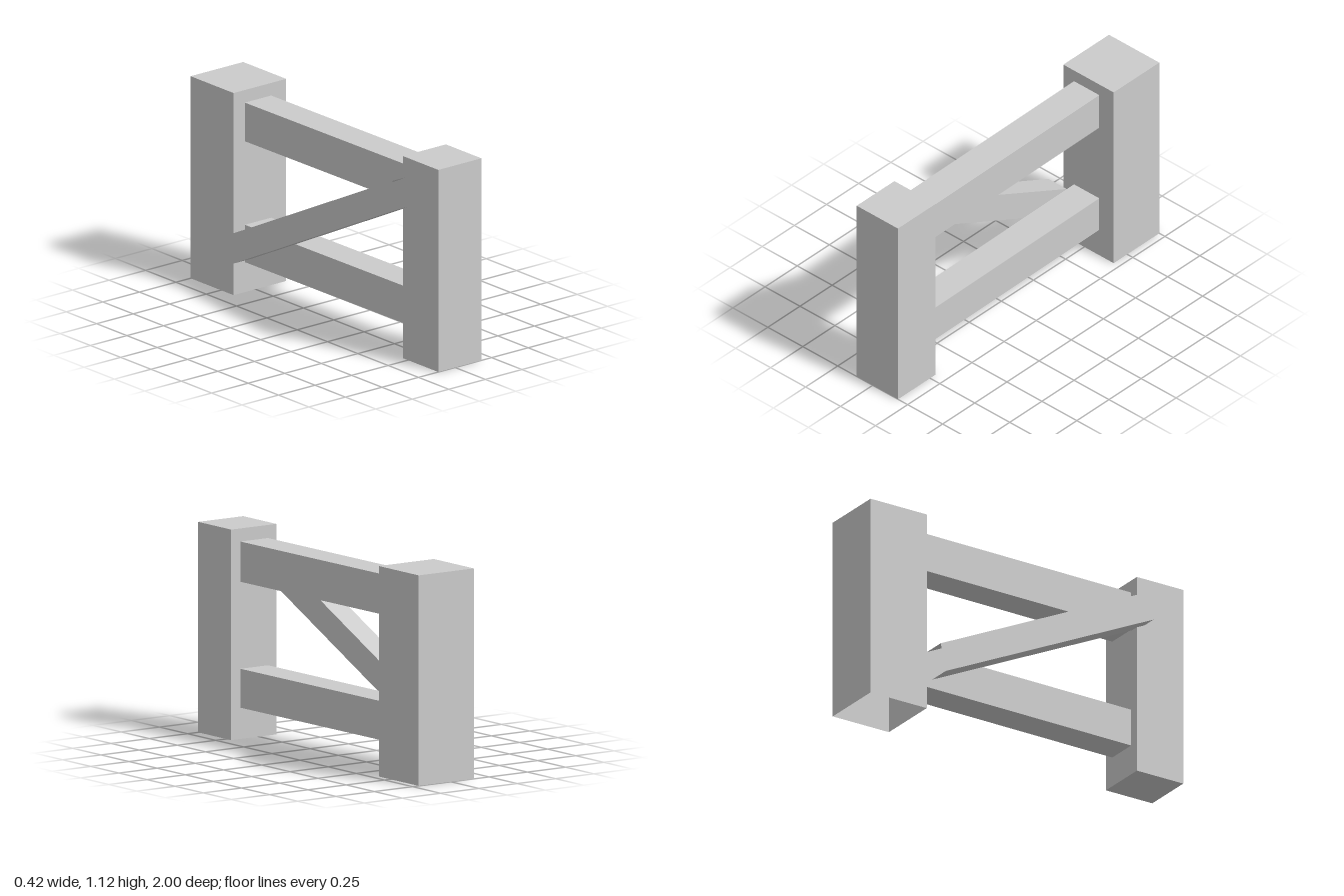
import * as THREE from 'three';

// Order of the six box faces in BoxGeometry, six indices each
const FACES = ['left', 'right', 'top', 'bottom', 'front', 'back'];

// Box that leaves out the named faces
function openBox(w, h, d, open = []) {
  const g = new THREE.BoxGeometry(w, h, d);
  const index = Array.from(g.index.array).filter((_, i) => !open.includes(FACES[Math.floor(i / 6)]));
  g.setIndex(index);
  g.clearGroups();
  return g;
}

export function createModel() {
  const group = new THREE.Group();
  const material = new THREE.MeshStandardMaterial({
    color: 0xcccccc, flatShading: true, side: THREE.DoubleSide,
  });

  function add(name, geometry, x, y, z) {
    const mesh = new THREE.Mesh(geometry, material);
    mesh.name = name;
    mesh.position.set(x, y, z);
    group.add(mesh);
  }

  // Square posts; the thicker back one is hollow underneath
  const height = 1.125;
  add('frontPost', openBox(0.295, height, 0.293), 0.033, height / 2, 0.8535);
  add('backPost', openBox(0.36, height, 0.355, ['bottom']), 0.03, height / 2, -0.8225);

  // Horizontal rails, turned very slightly and let into both posts
  for (const [name, low, high] of [['lowerRail', 0.167, 0.375], ['upperRail', 0.84, 1.055]]) {
    const rail = openBox(0.18, high - low, 1.7, ['front', 'back']);
    rail.applyMatrix4(new THREE.Matrix4().set(
      1, 0, 0.0096, 0,
      0, 1, 0, 0,
      0, 0, 1, 0,
      0, 0, 0, 1));
    add(name, rail, 0.0227, (low + high) / 2, -0.05);
  }

  // Diagonal brace: open-ended beam sheared to slope up to the front post
  const brace = openBox(0.13, 0.153, 1.324, ['front', 'back']);
  brace.applyMatrix4(new THREE.Matrix4().set(
    1, 0, 0.0113, 0,
    0, 1, 0.488, 0,
    0, -0.206, 1, 0,
    0, 0, 0, 1));
  add('diagonalBrace', brace, -0.1425, 0.61, 0.078);

  return group;
}
